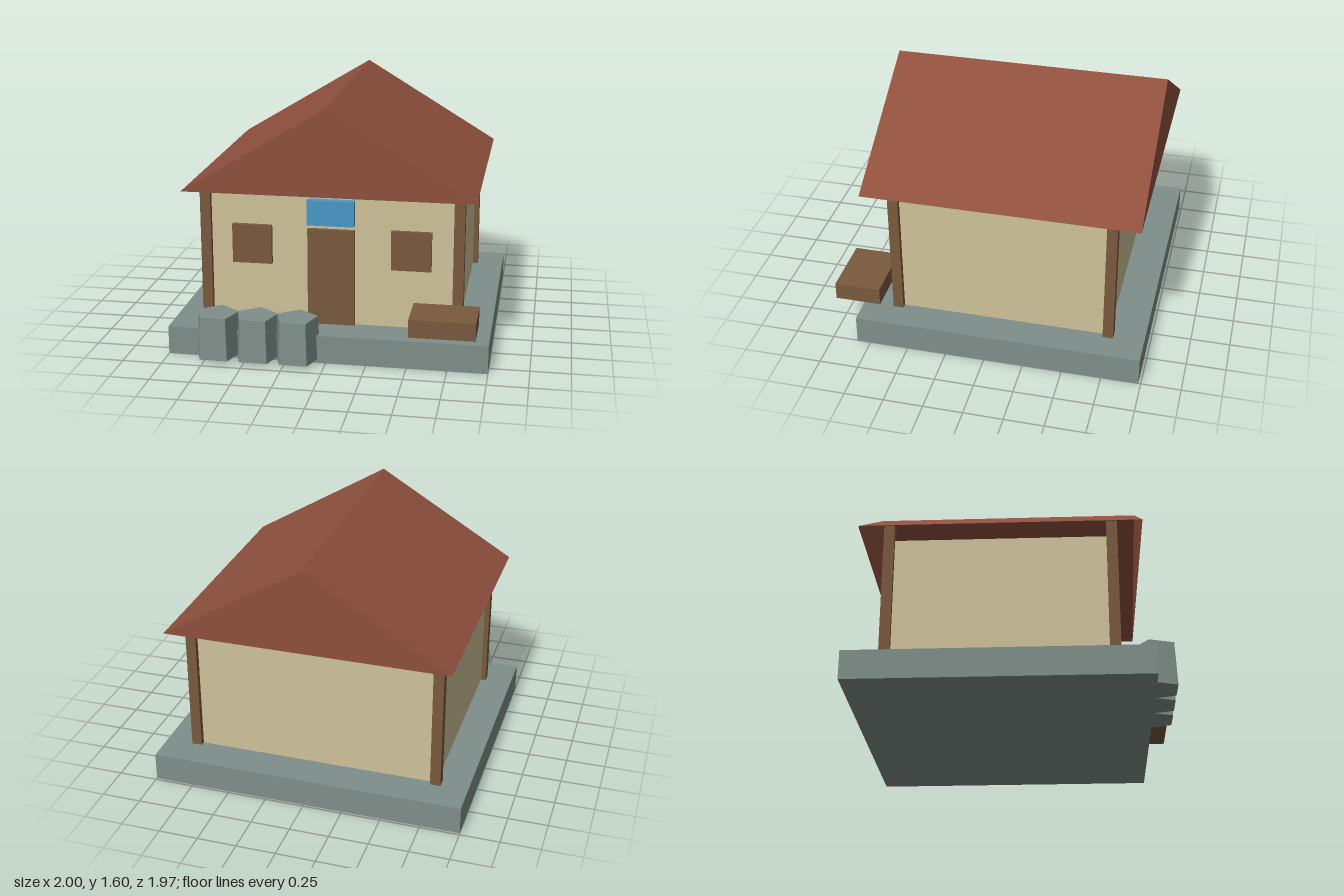
import * as THREE from 'three';

const mat = (color, side = THREE.FrontSide) =>
  new THREE.MeshStandardMaterial({ color, side, flatShading: true });

export function createModel() {
  const house = new THREE.Group();
  house.name = 'house';
  const stone = mat(0x7f8f8a), wood = mat(0x795a3d), plaster = mat(0xcfc39b);
  const blue = mat(0x4a98c9), tile = mat(0x8f503d, THREE.DoubleSide);

  const add = (name, geometry, material) => {
    const mesh = new THREE.Mesh(geometry, material);
    mesh.name = name;
    house.add(mesh);
    return mesh;
  };
  // Box given by its limits on each axis
  const box = (name, material, [x0, x1], [y0, y1], [z0, z1]) =>
    add(name, new THREE.BoxGeometry(x1 - x0, y1 - y0, z1 - z0), material)
      .position.set((x0 + x1) / 2, (y0 + y1) / 2, (z0 + z1) / 2);

  // Foundation and walls
  box('foundation', stone, [-1, 1], [0, 0.18], [-0.985, 0.837]);
  box('walls', plaster, [-0.793, 0.793], [0.18, 1], [-0.757, 0.608]);

  // Corner posts
  for (const x of [-0.793, 0.793])
    for (const z of [-0.757, 0.608])
      box('cornerPost', wood, [x - 0.033, x + 0.033], [0.18, 1.09], [z - 0.033, z + 0.033]);

  // Door, sign and windows on the front wall
  box('door', wood, [-0.148, 0.148], [0.18, 0.8], [0.6, 0.635]);
  box('signBoard', blue, [-0.148, 0.148], [0.83, 0.99], [0.6, 0.656]);
  for (const x of [-0.5, 0.5])
    box('window', wood, [x - 0.125, x + 0.125], [0.56, 0.81], [0.6, 0.635]);

  // Hollow gable roof, open underneath: two slopes and two gable ends
  const w = 0.903, eave = 1.05, ridge = 1.595, f = 0.793, b = -0.938;
  const fl = [-w, eave, f], fr = [w, eave, f], ft = [0, ridge, f];
  const bl = [-w, eave, b], br = [w, eave, b], bt = [0, ridge, b];
  const faces = [fl, fr, ft, br, bl, bt, fr, br, bt, fr, bt, ft, bl, fl, ft, bl, ft, bt];
  const roof = new THREE.BufferGeometry();
  roof.setAttribute('position', new THREE.Float32BufferAttribute(faces.flat(), 3));
  roof.computeVertexNormals();
  add('roof', roof, tile);

  // Bench slab
  box('bench', wood, [0.527, 0.93], [0.265, 0.377], [0.693, 0.985]);

  // Row of tapered five-sided stones
  for (const x of [-0.68, -0.43, -0.18]) {
    const block = add('stoneBlock', new THREE.CylinderGeometry(0.135, 0.148, 0.272, 5), stone);
    block.position.set(x, 0.161, 0.845);
    block.rotation.y = Math.PI;
  }
  return house;
}
